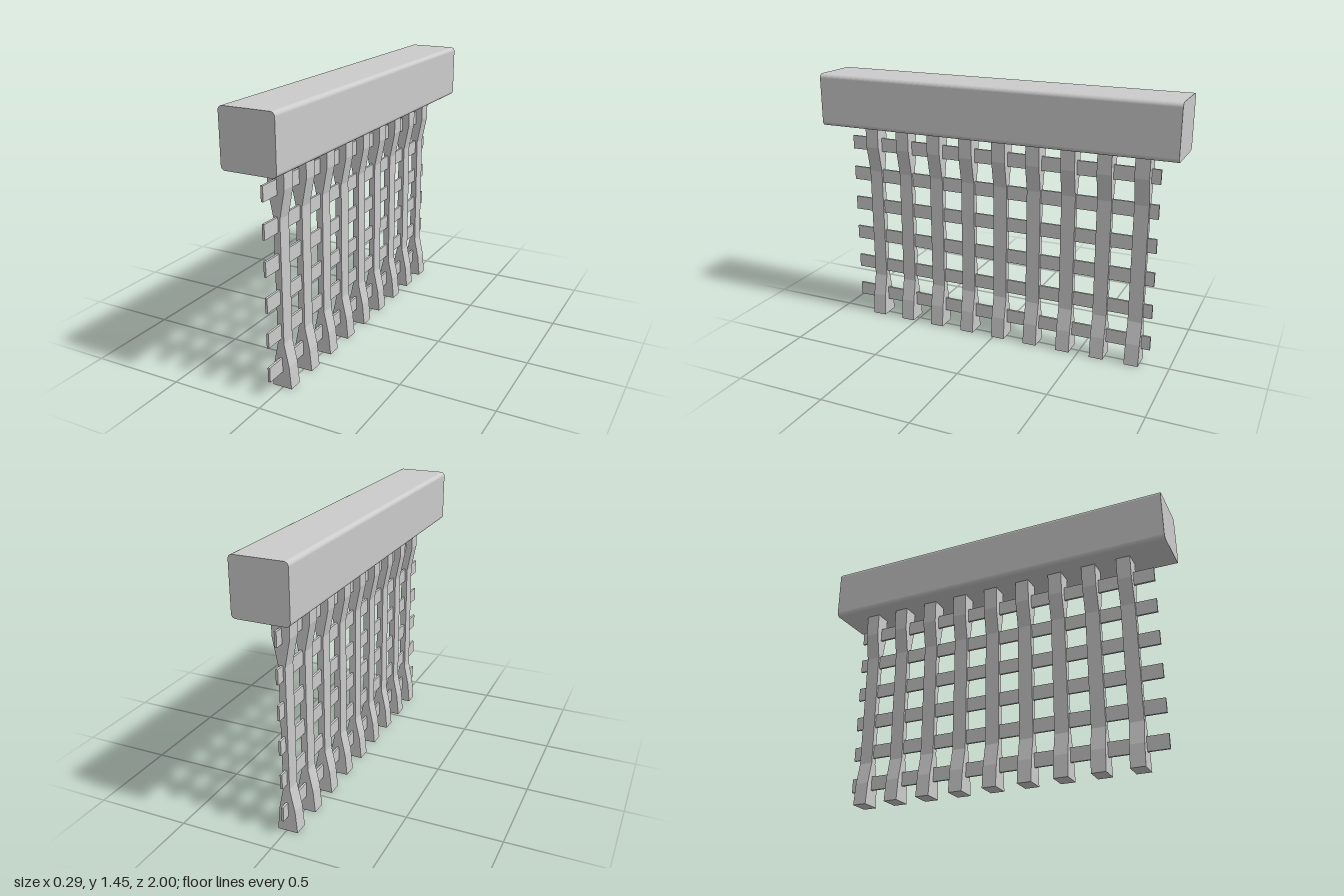
import * as THREE from 'three';

const material = new THREE.MeshStandardMaterial({ color: 0xcccccc, side: THREE.DoubleSide });
const flatMaterial = new THREE.MeshStandardMaterial({ color: 0xcccccc, flatShading: true });

// Extrudes an xy shape along z, centred on z = 0.
function extrudeAlongZ(shape, depth) {
  const geometry = new THREE.ExtrudeGeometry(shape, { depth, bevelEnabled: false, curveSegments: 6 });
  return geometry.translate(0, 0, -depth / 2);
}

function roundedRect(x0, y0, x1, y1, r) {
  const s = new THREE.Shape();
  s.absarc(x1 - r, y0 + r, r, -Math.PI / 2, 0);
  s.absarc(x1 - r, y1 - r, r, 0, Math.PI / 2);
  s.absarc(x0 + r, y1 - r, r, Math.PI / 2, Math.PI);
  s.absarc(x0 + r, y0 + r, r, Math.PI, Math.PI * 1.5);
  s.closePath();
  return s;
}

export function createModel() {
  const model = new THREE.Group();
  model.name = 'hangingLattice';
  const gridX = -0.006;

  // Heavy top beam with softened long edges
  const beam = new THREE.Mesh(extrudeAlongZ(roundedRect(-0.145, 1.156, 0.143, 1.445, 0.022), 2), material);
  beam.name = 'topBeam';
  model.add(beam);

  // Upright bars, flared at head and foot: [half thickness, height]
  const profile = [[0.054, 0], [0.043, 0.12], [0.0175, 0.24], [0.0175, 0.885], [0.046, 1.03], [0.046, 1.16]];
  const outline = [
    ...profile.map(([x, y]) => new THREE.Vector2(x, y)),
    ...profile.map(([x, y]) => new THREE.Vector2(-x, y)).reverse(),
  ];
  const barGeometry = extrudeAlongZ(new THREE.Shape(outline), 0.077);
  const bars = new THREE.Group();
  bars.name = 'uprightBars';
  for (let i = 0; i < 9; i++) {
    const bar = new THREE.Mesh(barGeometry, flatMaterial);
    bar.name = `uprightBar${i + 1}`;
    bar.position.set(gridX, 0, 0.75 - i * 0.1942);
    bars.add(bar);
  }
  model.add(bars);

  // Thin cross slats running through the bars
  const slatGeometry = new THREE.BoxGeometry(0.012, 0.077, 1.79);
  const slats = new THREE.Group();
  slats.name = 'crossSlats';
  for (let i = 0; i < 6; i++) {
    const slat = new THREE.Mesh(slatGeometry, flatMaterial);
    slat.name = `crossSlat${i + 1}`;
    slat.position.set(gridX, 0.124 + i * 0.183, 0.005);
    slats.add(slat);
  }
  model.add(slats);

  return model;
}
